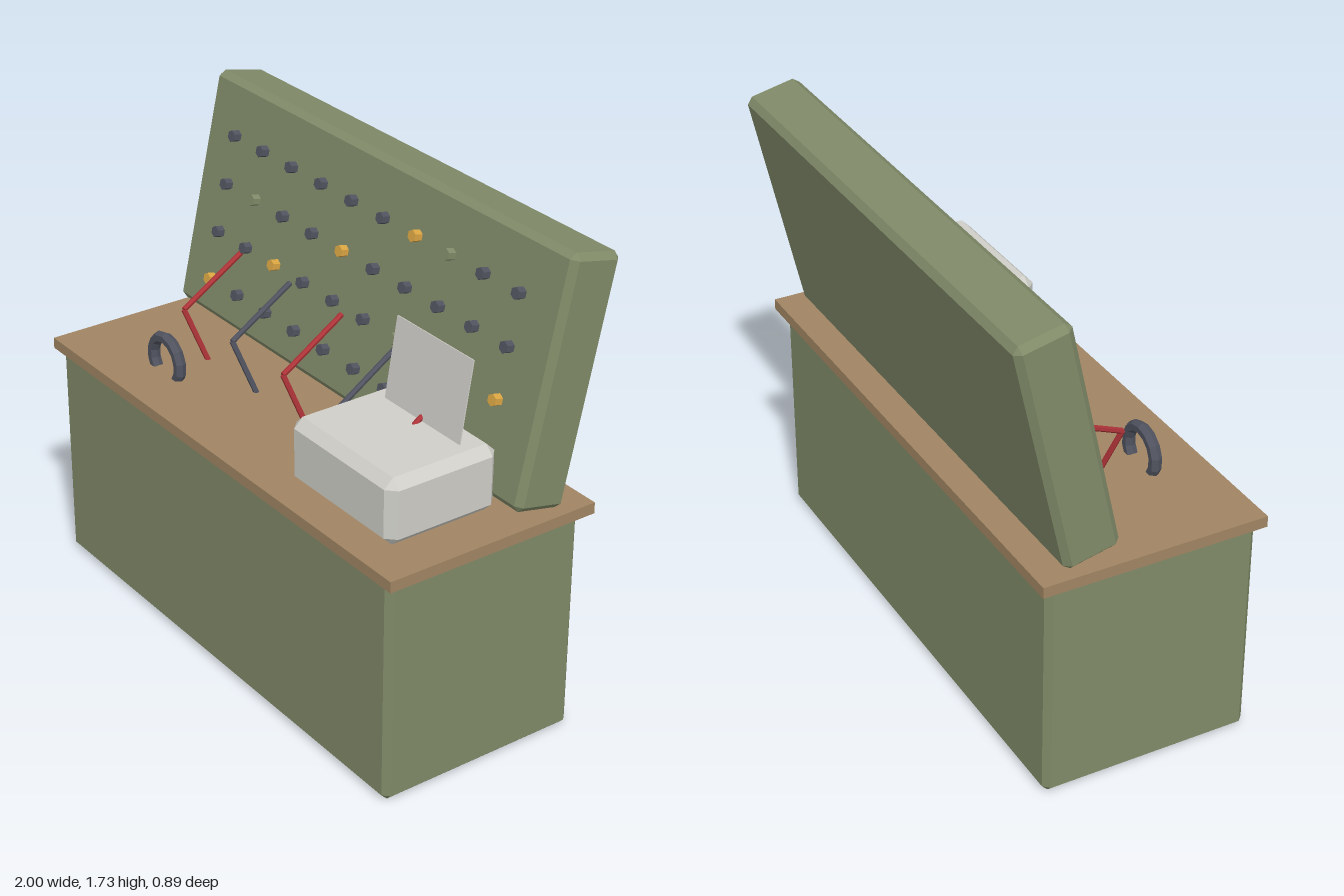
import * as THREE from 'three';
import { ConvexGeometry } from 'three/addons/geometries/ConvexGeometry.js';

const mat = (name, color, extra = {}) => {
  const m = new THREE.MeshStandardMaterial({ color, flatShading: true, ...extra });
  m.name = name;
  return m;
};

// Box with every edge and corner cut by c
function chamferBox(w, h, d, c) {
  const pts = [];
  for (const sx of [-1, 1]) for (const sy of [-1, 1]) for (const sz of [-1, 1]) {
    for (let a = 0; a < 3; a++) {
      const k = [0, 1, 2].map((i) => (i === a ? 0 : c));
      pts.push(new THREE.Vector3(sx * (w / 2 - k[0]), sy * (h / 2 - k[1]), sz * (d / 2 - k[2])));
    }
  }
  return new ConvexGeometry(pts);
}

// Straight rod between two points
function rod(a, b, r, material) {
  const dir = b.clone().sub(a);
  const mesh = new THREE.Mesh(new THREE.CylinderGeometry(r, r, dir.length(), 6), material);
  mesh.position.copy(a).add(b).multiplyScalar(0.5);
  mesh.quaternion.setFromUnitVectors(new THREE.Vector3(0, 1, 0), dir.normalize());
  return mesh;
}

export function createModel() {
  const green = mat('olive green', 0x808a68);
  const wood = mat('wood', 0xa08563);
  const white = mat('off white', 0xcfcec8);
  const paperMat = mat('paper', 0xd0cfc9, { side: THREE.DoubleSide });
  const dark = mat('dark steel', 0x50535f);
  const yellow = mat('amber', 0xd8a442);
  const red = mat('red', 0xac3338);

  const model = new THREE.Group();
  model.name = 'controlDesk';
  const add = (parent, name, geometry, material, x, y, z) => {
    const mesh = new THREE.Mesh(geometry, material);
    mesh.name = name;
    mesh.position.set(x, y, z);
    parent.add(mesh);
    return mesh;
  };

  // Cabinet and worktop
  add(model, 'cabinet', chamferBox(1.94, 0.82, 0.76, 0.022), green, 0, 0.41, 0.05);
  add(model, 'worktop', new THREE.BoxGeometry(2, 0.04, 0.81), wood, 0, 0.835, 0.042);

  // Leaning panel with its rows of knobs
  const panel = new THREE.Group();
  panel.name = 'panel';
  panel.position.set(0, 1.292, -0.258);
  panel.rotation.x = -0.22;
  model.add(panel);
  add(panel, 'panelBody', chamferBox(1.94, 0.86, 0.2, 0.022), green, 0, 0, 0);
  const knobGeo = new THREE.CylinderGeometry(0.021, 0.021, 0.04, 6).rotateX(Math.PI / 2);
  for (let r = 0; r < 4; r++) {
    for (let c = 0; c < 10; c++) {
      const m = (c - 2 * r) % 7 === 0 ? yellow : (c + 5 * r) % 11 === 0 ? green : dark;
      add(panel, 'knob', knobGeo, m, -0.78 + c * 0.1733, -0.294 + r * 0.1775, 0.11);
    }
  }

  // Row of bent levers
  for (let i = 0; i < 5; i++) {
    const lever = new THREE.Group();
    lever.name = 'lever';
    lever.position.x = -0.6 + i * 0.302;
    const top = new THREE.Vector3(-0.042, 1.17, -0.125);
    const knee = new THREE.Vector3(0, 1.04, 0.145);
    const foot = new THREE.Vector3(0.06, 0.85, 0.088);
    const m = i % 2 ? dark : red;
    lever.add(rod(top, knee, 0.01, m), rod(knee, foot, 0.01, m));
    lever.children[0].name = 'leverHandle';
    lever.children[1].name = 'leverStem';
    model.add(lever);
  }

  // Open ring standing on the worktop
  const ring = add(model, 'ring', new THREE.TorusGeometry(0.084, 0.022, 6, 10, 4.54), dark, -0.545, 0.9, 0.256);
  ring.rotation.z = -0.7;

  // Printer with a sheet leaning back out of it
  add(model, 'printer', chamferBox(0.54, 0.238, 0.43, 0.033), white, 0.59, 0.972, 0.13);
  const sheet = add(model, 'paperSheet', new THREE.BoxGeometry(0.386, 0.3, 0.004), paperMat, 0.594, 1.225, -0.001);
  sheet.rotation.x = -0.16;

  return model;
}
